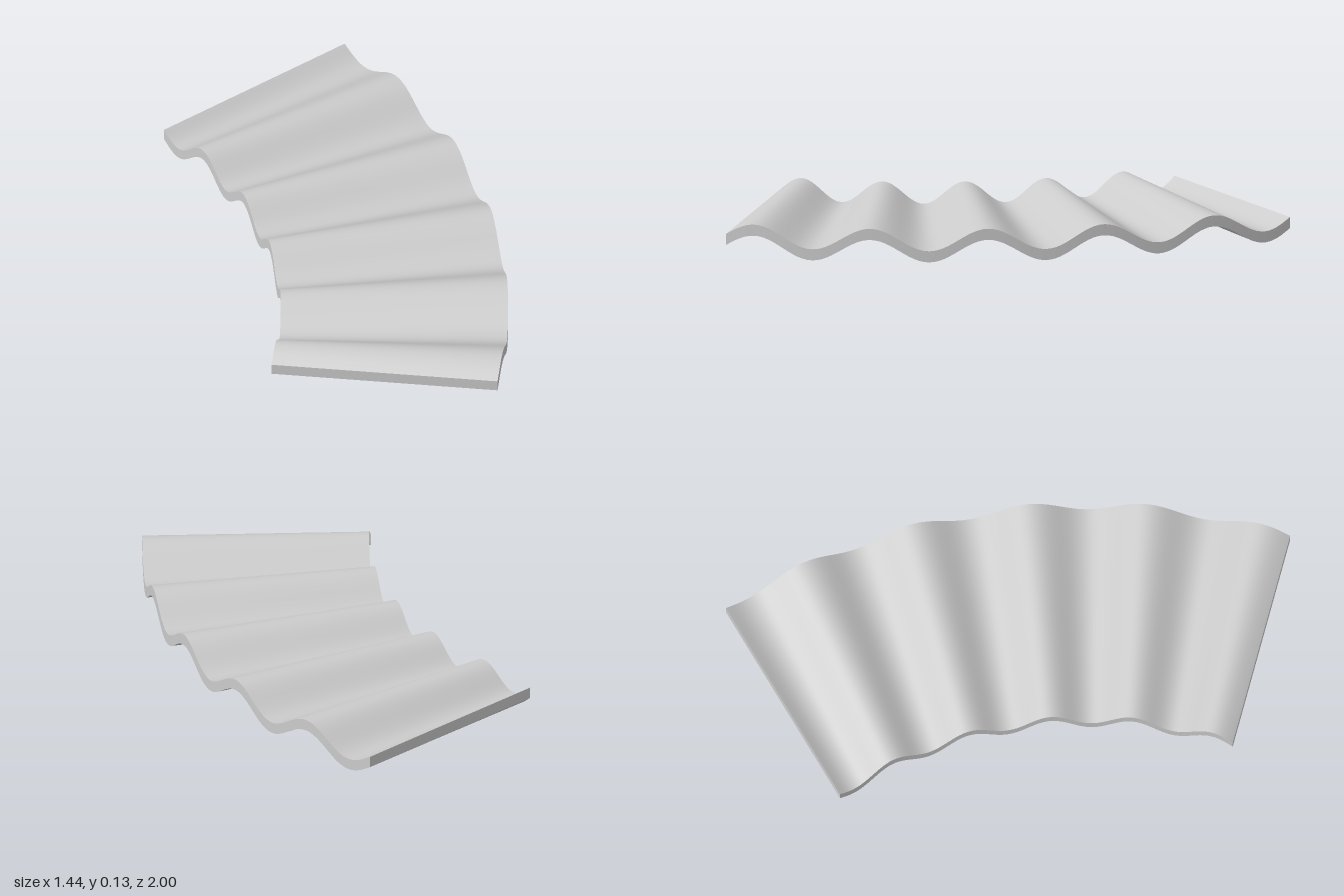
import * as THREE from 'three';

const STEPS = 120;      // slices along the sweep
const WAVES = 5;        // full corrugations
const AMPLITUDE = 0.0425;
const THICKNESS = 0.043;

// The two curved rims, seen from above: centre, radius, front and back angle
const INNER = { x: -1.761, z: -0.85, r: 1.619, from: 50.0, to: -5.3 };
const OUTER = { x: -1.751, z: -0.85, r: 2.473, from: 48.4, to: -3.36 };

function rimPoint(rim, t, top) {
  const a = THREE.MathUtils.degToRad(THREE.MathUtils.lerp(rim.from, rim.to, t));
  const y = AMPLITUDE * (1 + Math.sin(t * WAVES * Math.PI * 2)) + (top ? THICKNESS : 0);
  return [rim.x + rim.r * Math.cos(a), y, rim.z + rim.r * Math.sin(a)];
}

// Four corners of the slice at t, running round the sheet
const slice = (t) => [
  rimPoint(INNER, t, true), rimPoint(OUTER, t, true),
  rimPoint(OUTER, t, false), rimPoint(INNER, t, false),
];

function sheetGeometry() {
  const positions = [], indices = [];

  // Top, outer edge, bottom and inner edge, each smooth along its own length
  for (let side = 0; side < 4; side++) {
    const start = positions.length / 3;
    for (let i = 0; i <= STEPS; i++) {
      const c = slice(i / STEPS);
      positions.push(...c[side], ...c[(side + 1) % 4]);
      if (i === STEPS) break;
      const a = start + i * 2;
      indices.push(a, a + 1, a + 2, a + 1, a + 3, a + 2);
    }
  }

  // Flat end faces
  for (const t of [0, 1]) {
    const n = positions.length / 3;
    const corners = slice(t);
    if (t === 0) corners.reverse();
    positions.push(...corners.flat());
    indices.push(n, n + 1, n + 2, n, n + 2, n + 3);
  }

  const geometry = new THREE.BufferGeometry();
  geometry.setAttribute('position', new THREE.Float32BufferAttribute(positions, 3));
  geometry.setIndex(indices);
  geometry.computeVertexNormals();
  return geometry;
}

export function createModel() {
  const group = new THREE.Group();
  group.name = 'curvedCorrugatedPanel';
  const sheet = new THREE.Mesh(
    sheetGeometry(),
    new THREE.MeshStandardMaterial({ color: 0xcccccc }),
  );
  sheet.name = 'corrugatedSheet';
  group.add(sheet);
  return group;
}
